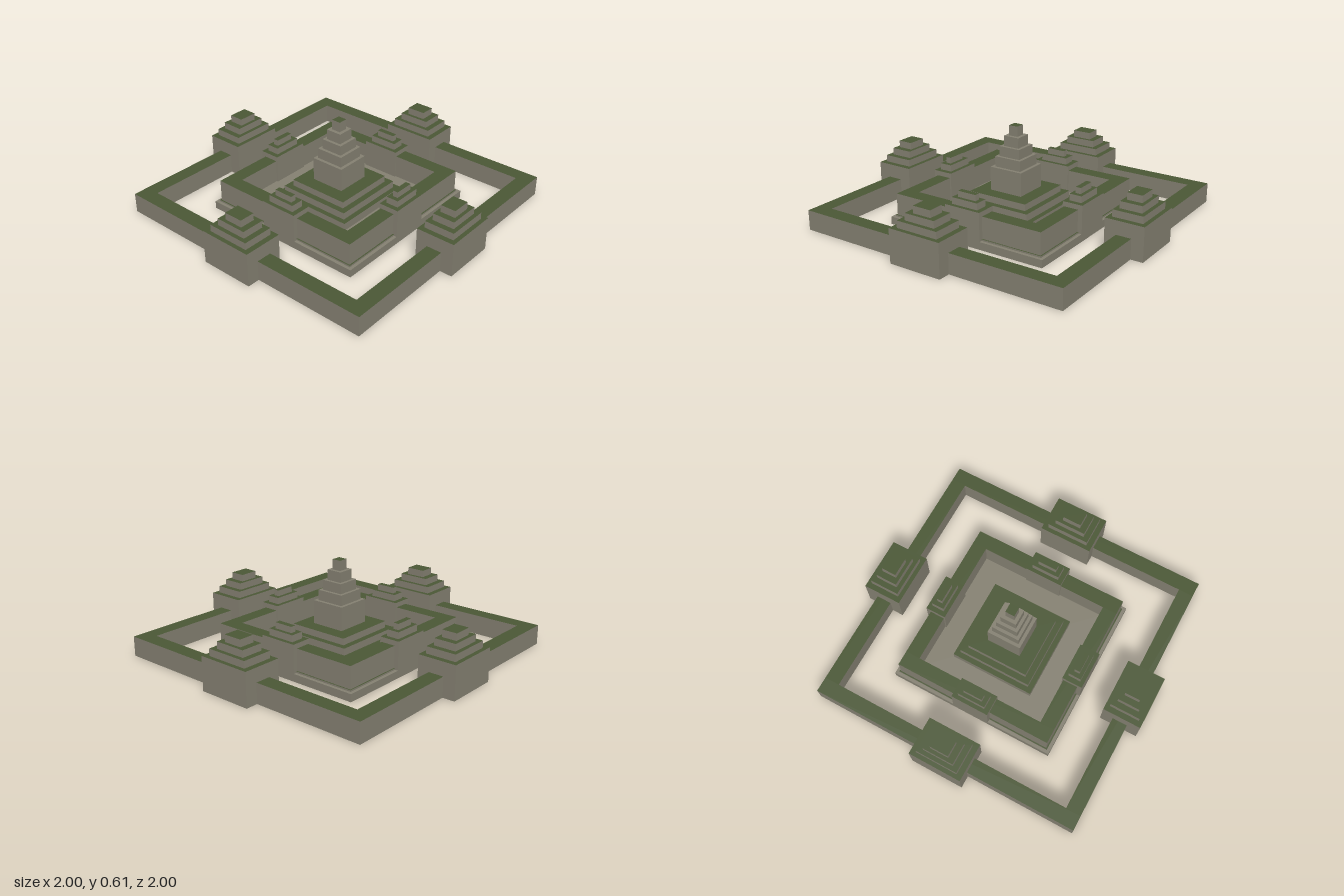
import * as THREE from 'three';

export function createModel() {
  const stone = new THREE.MeshStandardMaterial({ color: 0x858172 });
  stone.name = 'stone';
  const moss = new THREE.MeshStandardMaterial({ color: 0x4b5836 });
  moss.name = 'moss';
  const mossTopped = [stone, stone, moss, stone, stone, stone];

  const model = new THREE.Group();
  model.name = 'temple';

  // Block given by half widths and bottom/top heights
  function block(parent, name, hx, hz, y0, y1, material = mossTopped, x = 0, z = 0) {
    const mesh = new THREE.Mesh(new THREE.BoxGeometry(2 * hx, y1 - y0, 2 * hz), material);
    mesh.name = name;
    mesh.position.set(x, (y0 + y1) / 2, z);
    parent.add(mesh);
  }

  // Square ring of wall made from four runs
  function ringWall(name, outer, inner, y0, y1) {
    const group = new THREE.Group();
    group.name = name;
    const mid = (outer + inner) / 2, half = (outer - inner) / 2;
    for (const s of [-1, 1]) {
      block(group, 'wallRun', outer, half, y0, y1, mossTopped, 0, s * mid);
      block(group, 'wallRun', half, inner, y0, y1, mossTopped, s * mid, 0);
    }
    model.add(group);
  }

  // Stepped gate towers on all four sides; tiers are [half width, half depth, top]
  function gates(name, distance, y0, tiers) {
    for (let i = 0; i < 4; i++) {
      const gate = new THREE.Group();
      gate.name = name;
      let y = y0;
      for (const [hw, hd, top] of tiers) {
        block(gate, 'gateTier', hw, hd, y, top, mossTopped, 0, distance);
        y = top;
      }
      gate.rotation.y = i * Math.PI / 2;
      model.add(gate);
    }
  }

  // Outer enclosure
  ringWall('outerWall', 0.92, 0.82, 0, 0.13);
  gates('outerGate', 0.872, 0, [
    [0.18, 0.128, 0.22], [0.143, 0.1, 0.265], [0.105, 0.073, 0.31], [0.063, 0.05, 0.356],
  ]);

  // Inner enclosure on its platform
  block(model, 'platform', 0.564, 0.564, 0, 0.05, stone);
  ringWall('innerWallFoot', 0.543, 0.44, 0.05, 0.06);
  ringWall('innerWall', 0.535, 0.437, 0.05, 0.202);
  gates('innerGate', 0.496, 0.05, [
    [0.127, 0.068, 0.234], [0.094, 0.042, 0.277], [0.064, 0.018, 0.316],
  ]);

  // Central stepped terrace
  let y = 0.05;
  for (const [half, top] of [[0.282, 0.1], [0.248, 0.145], [0.208, 0.188]]) {
    block(model, 'terrace', half, half, y, top);
    y = top;
  }

  // Central tower, mossy only at the tip
  const tiers = [[0.115, 0.342], [0.094, 0.41], [0.074, 0.475], [0.054, 0.542], [0.031, 0.608]];
  tiers.forEach(([half, top], i) => {
    block(model, 'towerTier', half, half, y, top, i === tiers.length - 1 ? mossTopped : stone);
    y = top;
  });

  return model;
}
